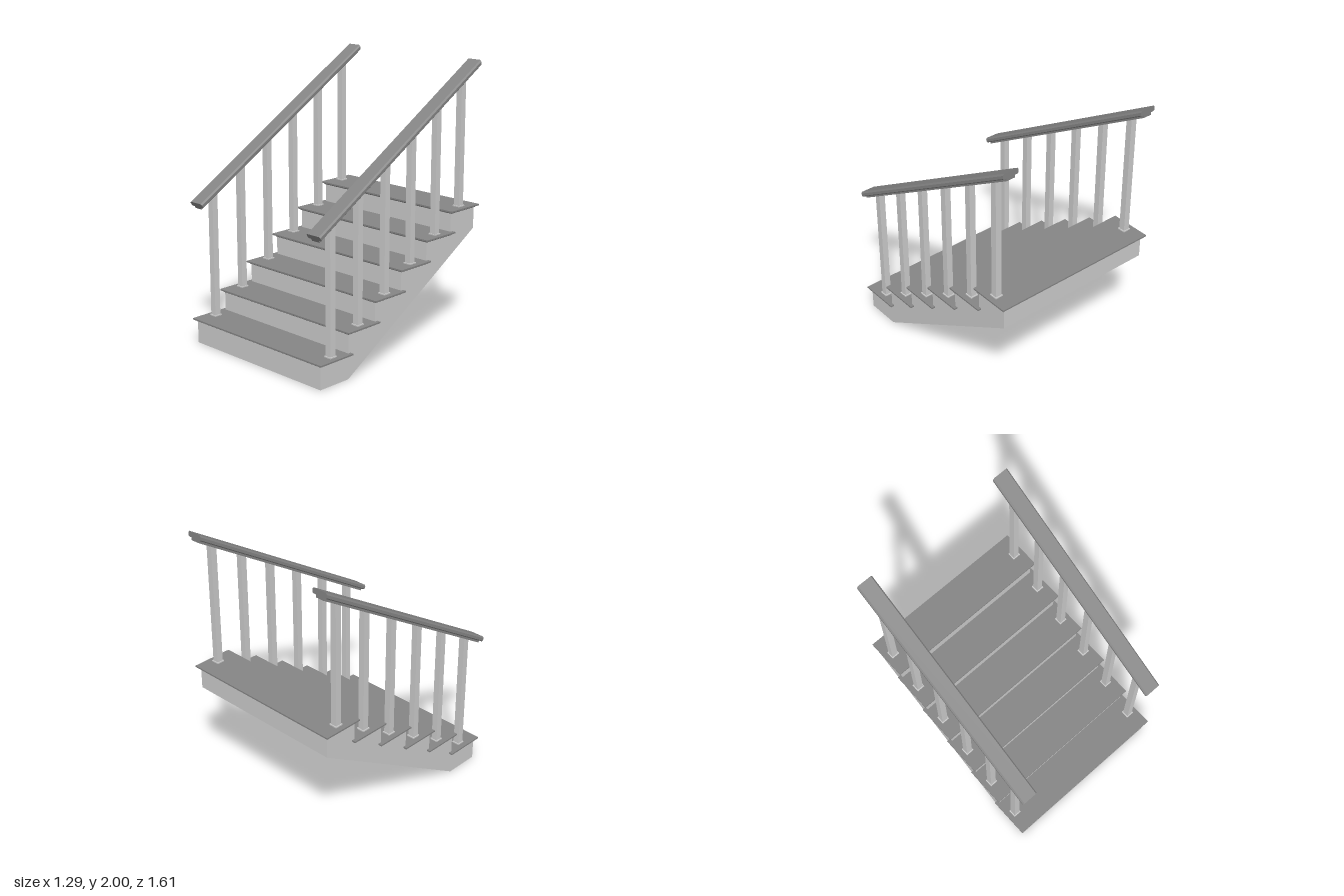
import * as THREE from 'three';

const STEPS = 6, RUN = 0.26, RISE = 0.156;
const FIRST_TOP = 0.16;      // underside of the lowest tread
const RAIL_SLOPE = 0.6;
const SIDE_X = 0.579;        // balusters and rails

const pale = new THREE.MeshStandardMaterial({ color: 0xcccccc, flatShading: true });
const dark = new THREE.MeshStandardMaterial({ color: 0x858585, flatShading: true });

function addMesh(parent, geometry, material, name, x = 0, y = 0, z = 0) {
  const mesh = new THREE.Mesh(geometry, material);
  mesh.name = name;
  mesh.position.set(x, y, z);
  parent.add(mesh);
}

// Box standing on y = 0 whose bottom is drawn in by an inset on all sides
function taperedBox(w, h, d, inset) {
  const geometry = new THREE.BoxGeometry(w, h, d).translate(0, h / 2, 0);
  const p = geometry.attributes.position;
  for (let i = 0; i < p.count; i++) {
    if (p.getY(i) > h / 2) continue;
    p.setX(i, p.getX(i) - Math.sign(p.getX(i)) * inset);
    p.setZ(i, p.getZ(i) - Math.sign(p.getZ(i)) * inset);
  }
  geometry.computeVertexNormals();
  return geometry;
}

// Height of the rail's underside at a given z
const railBottom = (z) => 1.938 - RAIL_SLOPE * (z + 0.79);

// Solid stepped body: side profile (-z, y) extruded across the width
function bodyGeometry() {
  const shape = new THREE.Shape();
  shape.moveTo(-0.52, 0);
  shape.lineTo(-0.78, 0);
  for (let i = 0; i < STEPS; i++) {
    const y = FIRST_TOP + i * RISE;
    shape.lineTo(i * RUN - 0.78, y);
    shape.lineTo(Math.min((i + 1) * RUN - 0.78, 0.777), y);
  }
  shape.lineTo(0.777, 0.785);
  shape.closePath();
  const geometry = new THREE.ExtrudeGeometry(shape, { depth: 1.24, bevelEnabled: false });
  return geometry.translate(0, 0, -0.62).rotateY(Math.PI / 2);
}

// Moulded handrail: square cut at the foot, plumb cut at the top
function railGeometry() {
  const half = [[0.033, 0], [0.033, 0.02], [0.055, 0.02], [0.062, 0.028], [0.062, 0.05], [0.052, 0.062]];
  const outline = [...half, ...half.map(([x, y]) => [-x, y]).reverse()];
  const shape = new THREE.Shape(outline.map(([x, y]) => new THREE.Vector2(x, y)));
  const geometry = new THREE.ExtrudeGeometry(shape, { depth: 1, bevelEnabled: false });
  const p = geometry.attributes.position;
  for (let i = 0; i < p.count; i++) {
    const h = p.getY(i);
    const z = p.getZ(i) > 0.5 ? 0.776 + 0.42 * h : -0.79;
    p.setY(i, railBottom(z) + h);
    p.setZ(i, z);
  }
  geometry.computeVertexNormals();
  return geometry;
}

export function createModel() {
  const model = new THREE.Group();
  model.name = 'staircase';

  addMesh(model, bodyGeometry(), pale, 'stairBody');

  // Treads: square-edged board over a drawn-in moulding
  const board = new THREE.BoxGeometry(1.294, 0.011, 0.306);
  const moulding = taperedBox(1.276, 0.013, 0.29, 0.012);
  for (let i = 0; i < STEPS; i++) {
    const tread = new THREE.Group();
    tread.name = 'tread';
    tread.position.set(0, FIRST_TOP + i * RISE, 0.65 - i * RUN);
    addMesh(tread, board, dark, 'treadBoard', 0, 0.0175, 0);
    addMesh(tread, moulding, dark, 'treadMoulding');
    model.add(tread);
  }

  // Balustrade on each side
  const rail = railGeometry();
  const foot = new THREE.BoxGeometry(0.06, 0.008, 0.06);
  for (const side of [-1, 1]) {
    const balustrade = new THREE.Group();
    balustrade.name = side > 0 ? 'leftBalustrade' : 'rightBalustrade';
    balustrade.position.x = side * SIDE_X;
    addMesh(balustrade, rail, dark, 'handrail');
    for (let i = 0; i < STEPS; i++) {
      const z = 0.647 - i * RUN;
      const base = FIRST_TOP + 0.023 + i * RISE;
      const height = railBottom(z) + 0.02 - base;
      addMesh(balustrade, new THREE.BoxGeometry(0.046, height, 0.046), pale, 'baluster', 0, base + height / 2, z);
      addMesh(balustrade, foot, pale, 'balusterFoot', 0, base + 0.004, z);
    }
    model.add(balustrade);
  }
  return model;
}
